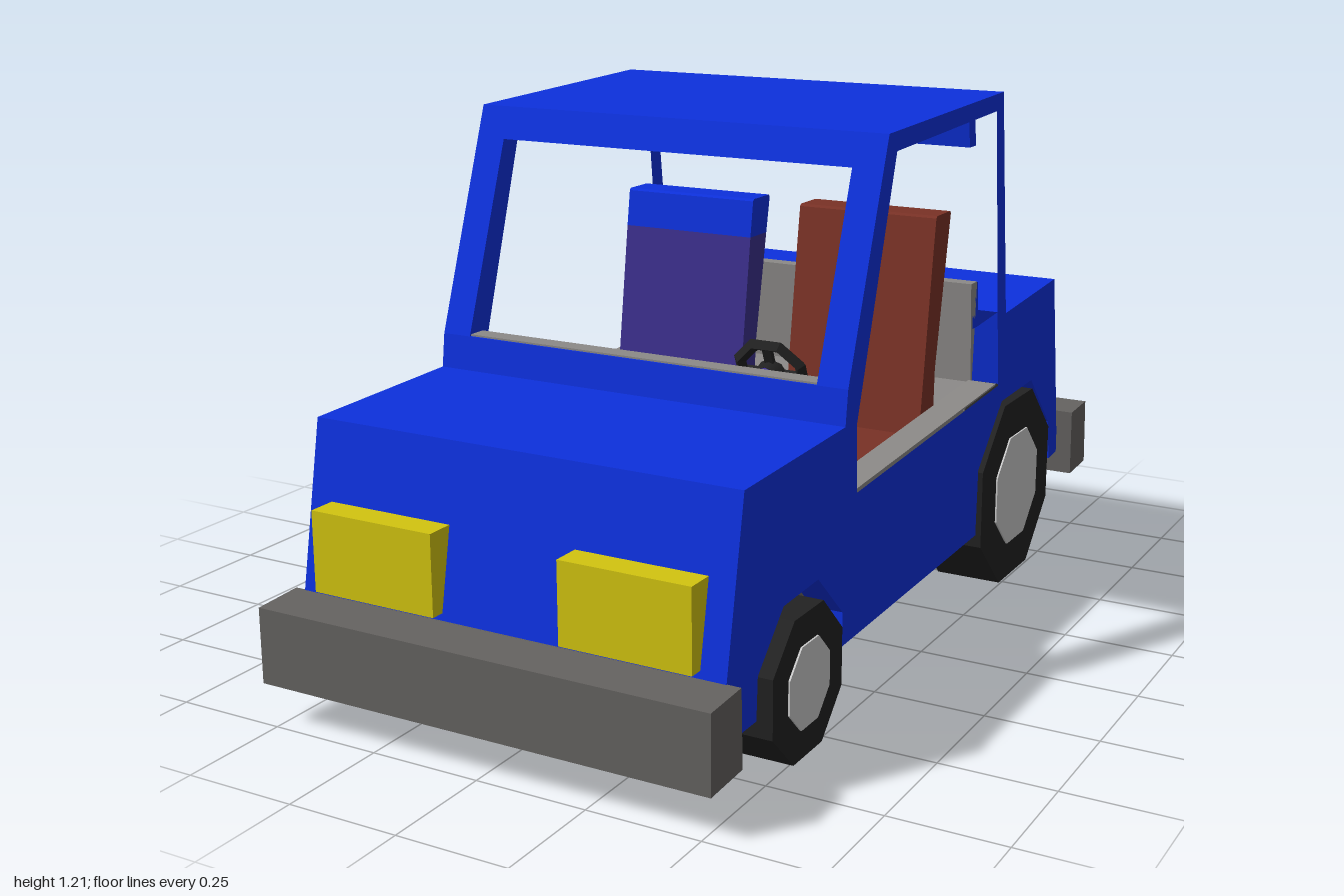
import * as THREE from 'three';

const mat = (name, color) => {
  const m = new THREE.MeshStandardMaterial({ color });
  m.name = name;
  return m;
};

export function createModel() {
  const car = new THREE.Group();
  car.name = 'car';
  const blue = mat('bodyBlue', 0x0d30dc);
  const grey = mat('chassisGrey', 0x646260);
  const liner = mat('interiorGrey', 0x8c8a88);
  const black = mat('tyreBlack', 0x222222);
  const silver = mat('hubSilver', 0xcacaca);
  const yellow = mat('headlightYellow', 0xd2c410);
  const red = mat('taillightRed', 0x8e0a0c);
  const brown = mat('seatBrown', 0x7a3226);
  const purple = mat('seatPurple', 0x3b2f8c);

  const add = (name, geo, material, parent = car) => {
    const m = new THREE.Mesh(geo, material);
    m.name = name;
    parent.add(m);
    return m;
  };
  // Side outline given as [z, y] points, extruded across x from x0 to x1
  const toV = (pts) => pts.map(([z, y]) => new THREE.Vector2(-z, y));
  const prism = (name, pts, x0, x1, material, hole) => {
    const shape = new THREE.Shape(toV(pts));
    if (hole) shape.holes.push(new THREE.Path(toV(hole)));
    const geo = new THREE.ExtrudeGeometry(shape, { depth: x1 - x0, bevelEnabled: false });
    geo.rotateY(Math.PI / 2).translate(x0, 0, 0);
    return add(name, geo, material);
  };

  const R = -0.505, L = 0.49;      // outer faces of the body
  const RI = -0.435, LI = 0.42;    // inner faces of the side panels

  // Side panels with wheel arches and window opening
  const sideOutline = [
    [0.895, 0.14], [0.895, 0.22], [0.82, 0.615], [0.395, 0.625], [0.385, 0.70], [0.21, 1.19],
    [-0.42, 1.21], [-0.485, 0.68], [-0.82, 0.70], [-0.895, 0.23], [-0.835, 0.225],
    [-0.815, 0.33], [-0.68, 0.47], [-0.48, 0.465], [-0.34, 0.33], [-0.335, 0.17],
    [0.395, 0.155], [0.395, 0.23], [0.51, 0.34], [0.66, 0.335], [0.765, 0.23], [0.77, 0.14],
  ];
  const sideWindow = [[0.335, 0.47], [0.34, 0.62], [0.17, 1.15], [-0.38, 1.17], [-0.45, 0.51]];
  prism('rightSidePanel', sideOutline, R, RI, blue, sideWindow);
  prism('leftSidePanel', sideOutline, LI, L, blue, sideWindow);

  // Cross panels of the shell between the sides
  const shell = {
    nosePanel: [[0.895, 0.14], [0.895, 0.22], [0.82, 0.615], [0.78, 0.59], [0.85, 0.22], [0.85, 0.14]],
    hood: [[0.82, 0.615], [0.395, 0.625], [0.395, 0.58], [0.78, 0.57]],
    cowl: [[0.395, 0.58], [0.395, 0.625], [0.385, 0.70], [0.345, 0.70], [0.345, 0.58]],
    windshieldHeader: [[0.235, 1.12], [0.21, 1.19], [0.16, 1.185], [0.19, 1.12]],
    roof: [[0.21, 1.19], [-0.42, 1.21], [-0.40, 1.17], [0.18, 1.15]],
    rearHeader: [[-0.42, 1.21], [-0.436, 1.08], [-0.40, 1.08], [-0.385, 1.17]],
    rearSill: [[-0.476, 0.75], [-0.485, 0.68], [-0.485, 0.64], [-0.452, 0.64], [-0.443, 0.75]],
    trunkLid: [[-0.485, 0.68], [-0.82, 0.70], [-0.80, 0.66], [-0.485, 0.64]],
    tailPanel: [[-0.82, 0.70], [-0.895, 0.23], [-0.85, 0.23], [-0.78, 0.67]],
  };
  for (const [name, pts] of Object.entries(shell)) prism(name, pts, RI, LI, blue);

  // Cabin lining
  const t = 0.005;
  const wall = [[0.335, 0.28], [0.335, 0.47], [-0.45, 0.51], [-0.33, 0.32]];
  const sill = [[0.334, 0.471], [0.334, 0.475], [-0.448, 0.515], [-0.448, 0.511]];
  prism('rightCabinWall', wall, RI, RI + t, liner);
  prism('leftCabinWall', wall, LI - t, LI, liner);
  prism('rightDoorSill', sill, R + 0.005, RI + t, liner);
  prism('leftDoorSill', sill, LI - t, L - 0.005, liner);
  prism('cabinFloor', [[0.345, 0.28], [0.345, 0.295], [-0.33, 0.325], [-0.33, 0.31]], RI, LI, liner);
  prism('firewall', [[0.345, 0.28], [0.345, 0.70], [0.337, 0.70], [0.337, 0.28]], RI, LI, liner);
  prism('cowlCap', [[0.38, 0.70], [0.38, 0.704], [0.337, 0.704], [0.337, 0.70]], RI, LI, liner);
  prism('rearCabinWall',
    [[-0.33, 0.31], [-0.45, 0.51], [-0.435, 0.752], [-0.472, 0.752], [-0.458, 0.51], [-0.338, 0.31]],
    RI, LI, liner);

  // Chassis and bumpers, sloping up to the rear
  prism('chassis', [[0.89, 0.096], [0.89, 0.26], [-0.89, 0.338], [-0.89, 0.175]], RI + 0.01, LI - 0.01, grey);
  prism('frontBumper', [[1, 0.09], [1, 0.255], [0.885, 0.26], [0.88, 0.095]], -0.53, 0.52, grey);
  prism('rearBumper', [[-1, 0.18], [-0.99, 0.345], [-0.885, 0.34], [-0.89, 0.175]], -0.535, 0.53, grey);

  // Lights
  for (const [side, x0, x1] of [['right', -0.452, -0.155], ['left', 0.14, 0.433]]) {
    prism(side + 'Headlight', [[0.915, 0.275], [0.915, 0.45], [0.845, 0.45], [0.845, 0.275]], x0, x1, yellow);
    prism(side + 'Taillight', [[-0.908, 0.345], [-0.905, 0.44], [-0.855, 0.44], [-0.86, 0.345]], x0, x1, red);
  }

  // Octagonal wheels with hub plates on both faces
  const octagon = (apothem, width) =>
    new THREE.CylinderGeometry(apothem / Math.cos(Math.PI / 8), apothem / Math.cos(Math.PI / 8), width, 8)
      .rotateY(Math.PI / 8).rotateZ(Math.PI / 2).toNonIndexed();
  const wheel = (name, x, z, r, width, hubR) => {
    const g = new THREE.Group();
    g.name = name;
    g.position.set(x, r, z);
    const tyre = octagon(r, width);
    tyre.computeVertexNormals();
    add('tyre', tyre, black, g);
    const hub = octagon(hubR, width + 0.008);
    hub.computeVertexNormals();
    add('hub', hub, silver, g);
    car.add(g);
  };
  wheel('frontRightWheel', -0.443, 0.585, 0.152, 0.16, 0.088);
  wheel('frontLeftWheel', 0.428, 0.585, 0.152, 0.16, 0.088);
  wheel('rearRightWheel', -0.43, -0.583, 0.225, 0.16, 0.135);
  wheel('rearLeftWheel', 0.415, -0.583, 0.225, 0.16, 0.135);

  // Seats
  const seatBase = [[0.10, 0.33], [0.10, 0.46], [-0.19, 0.44], [-0.27, 0.44], [-0.27, 0.33]];
  const lowerBack = [[-0.19, 0.44], [-0.247, 0.85], [-0.328, 0.85], [-0.275, 0.58], [-0.27, 0.44]];
  const topBack = [[-0.247, 0.85], [-0.26, 0.935], [-0.265, 0.94], [-0.34, 0.94], [-0.345, 0.935], [-0.328, 0.85]];
  const seat = (side, x0, x1, material, topMaterial) => {
    prism(side + 'SeatBase', seatBase, x0, x1, material);
    prism(side + 'SeatBack', lowerBack, x0, x1, material);
    prism(side + 'SeatTop', topBack, x0, x1, topMaterial);
  };
  seat('left', 0.055, 0.40, brown, brown);
  seat('right', -0.413, -0.07, purple, blue);

  // Steering wheel: local +z runs along the column towards the driver
  const steering = new THREE.Group();
  steering.name = 'steering';
  steering.position.set(0.225, 0.658, 0.203);
  steering.rotation.set(-Math.PI + 0.4, 0, 0);
  const rim = new THREE.TorusGeometry(0.078, 0.015, 4, 8).rotateZ(Math.PI / 8).toNonIndexed();
  rim.computeVertexNormals();
  add('steeringRim', rim, black, steering);
  const rod = (name, r, len, z, material) =>
    add(name, new THREE.CylinderGeometry(r, r, len, 8).rotateX(Math.PI / 2).translate(0, 0, z), material, steering);
  rod('steeringHub', 0.034, 0.03, -0.01, black);
  rod('steeringColumn', 0.033, 0.06, -0.05, purple);
  rod('columnBase', 0.036, 0.08, -0.115, black);
  for (const a of [0, Math.PI / 2])
    add('steeringSpoke', new THREE.BoxGeometry(0.15, 0.02, 0.012).rotateZ(a), black, steering);
  car.add(steering);

  return car;
}
